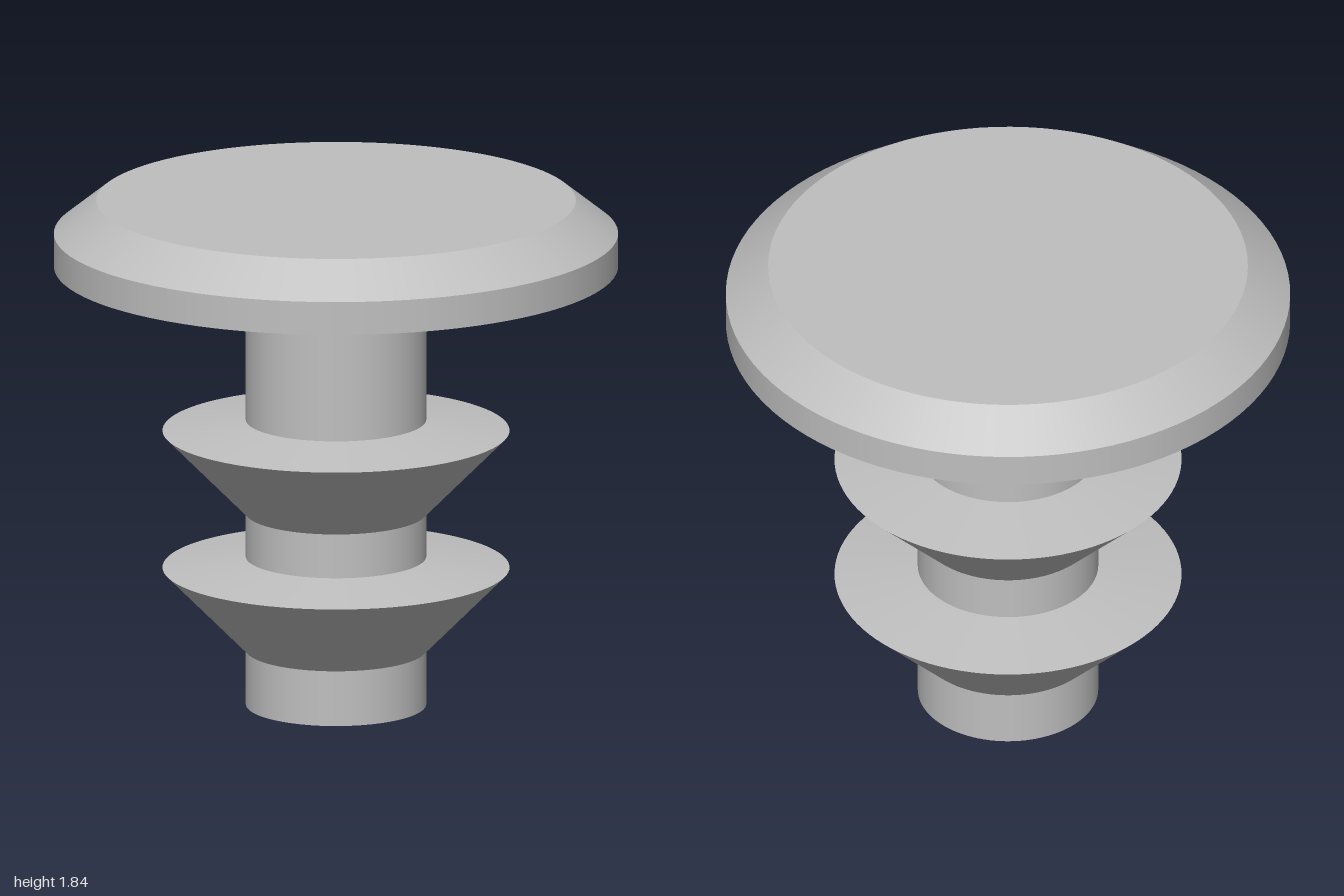
import * as THREE from 'three';
import { mergeGeometries } from 'three/addons/utils/BufferGeometryUtils.js';

const SEGMENTS = 96;
const STEM = 0.32;

// Revolves a profile, bottom to top, keeping a sharp edge at every point.
function turned(profile) {
  const bands = [];
  for (let i = 0; i < profile.length - 1; i++) {
    const ends = [profile[i], profile[i + 1]].map(([r, y]) => new THREE.Vector2(r, y));
    bands.push(new THREE.LatheGeometry(ends, SEGMENTS));
  }
  return mergeGeometries(bands);
}

export function createModel() {
  const group = new THREE.Group();
  const plastic = new THREE.MeshStandardMaterial({ color: 0xbfbfbf });
  plastic.name = 'grey plastic';

  const add = (name, profile, y = 0) => {
    const mesh = new THREE.Mesh(turned(profile), plastic);
    mesh.name = name;
    mesh.position.y = y;
    group.add(mesh);
  };

  // Stem, broken where the barbs wrap round it
  add('stemTip', [[0, 0], [STEM, 0], [STEM, 0.2]]);
  add('stemMiddle', [[STEM, 0.54], [STEM, 0.7]]);
  add('stemNeck', [[STEM, 1.04], [STEM, 1.6]]);

  // Two conical barbs with shallow sloping tops
  const barb = [[STEM, 0], [0.615, 0.3], [STEM, 0.34]];
  add('lowerBarb', barb, 0.2);
  add('upperBarb', barb, 0.7);

  // Wide head with a bevelled rim
  add('head', [[STEM, 1.6], [1, 1.6], [1, 1.72], [0.85, 1.84], [0, 1.84]]);

  return group;
}
